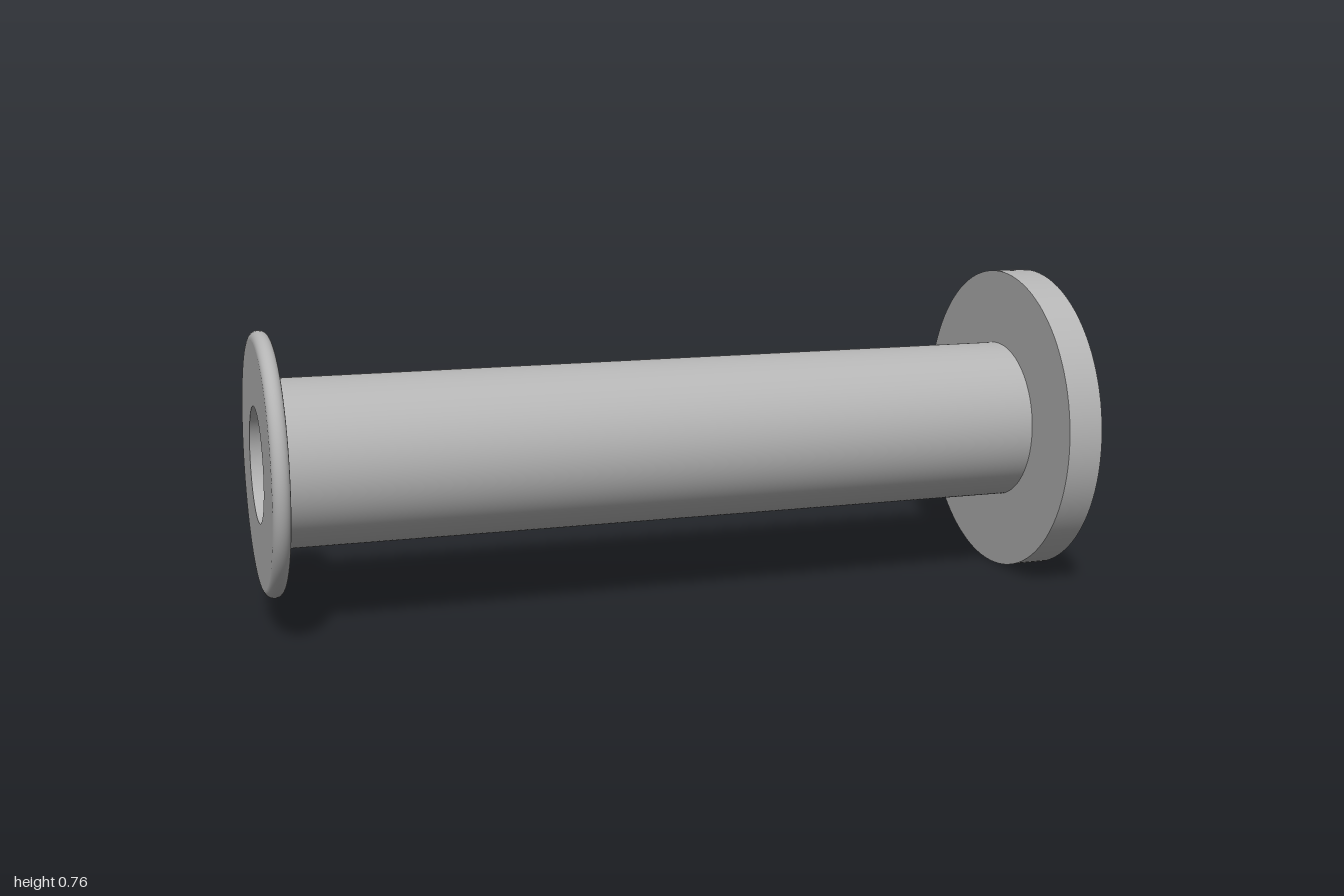
import * as THREE from 'three';

export function createModel() {
  const model = new THREE.Group();
  const steel = new THREE.MeshStandardMaterial({ color: 0xb4b4b4 });
  steel.name = 'grey steel';

  const headR = 0.378, shankR = 0.195, holeR = 0.134;
  const headX = 0.87, domeX = 0.957, tailX = -1;
  const lipR = 0.02, lipAt = 0.285, discX = tailX + lipR;

  // Points are [radius, position along the axis]; each strip is smooth, its ends sharp
  const axis = new THREE.Group();
  axis.name = 'rivet';
  axis.rotation.z = -Math.PI / 2;
  axis.position.y = headR;
  model.add(axis);

  function part(name, ...strips) {
    const group = new THREE.Group();
    group.name = name;
    for (const strip of strips) {
      const points = strip.map(([r, x]) => new THREE.Vector2(r, x));
      const mesh = new THREE.Mesh(new THREE.LatheGeometry(points, 96), steel);
      mesh.name = name + 'Surface';
      group.add(mesh);
    }
    axis.add(group);
  }

  // Shallow spherical cap of the head
  const rise = 1 - domeX;
  const domeR = (headR * headR + rise * rise) / (2 * rise);
  const dome = [];
  for (let i = 0; i <= 16; i++) {
    const r = headR * (1 - i / 16);
    dome.push([r, 1 - domeR + Math.sqrt(domeR * domeR - r * r)]);
  }
  part('head',
    [[shankR, headX], [headR, headX]],
    [[headR, headX], [headR, domeX]],
    dome);

  part('shank', [[shankR, discX], [shankR, headX]]);

  // Tail flange: thin disc with a rounded, raised lip
  const lip = [];
  for (let i = 0; i <= 24; i++) {
    const a = -Math.PI / 2 + (i / 24) * Math.PI * 1.5;
    lip.push([lipAt + lipR * Math.cos(a), discX + lipR * Math.sin(a)]);
  }
  part('tailFlange',
    [[holeR, tailX], [lipAt, tailX]],
    lip,
    [[lipAt - lipR, discX], [shankR, discX]]);

  // Blind bore in the shank
  part('bore',
    [[0, headX], [holeR, headX]],
    [[holeR, headX], [holeR, tailX]]);

  return model;
}
